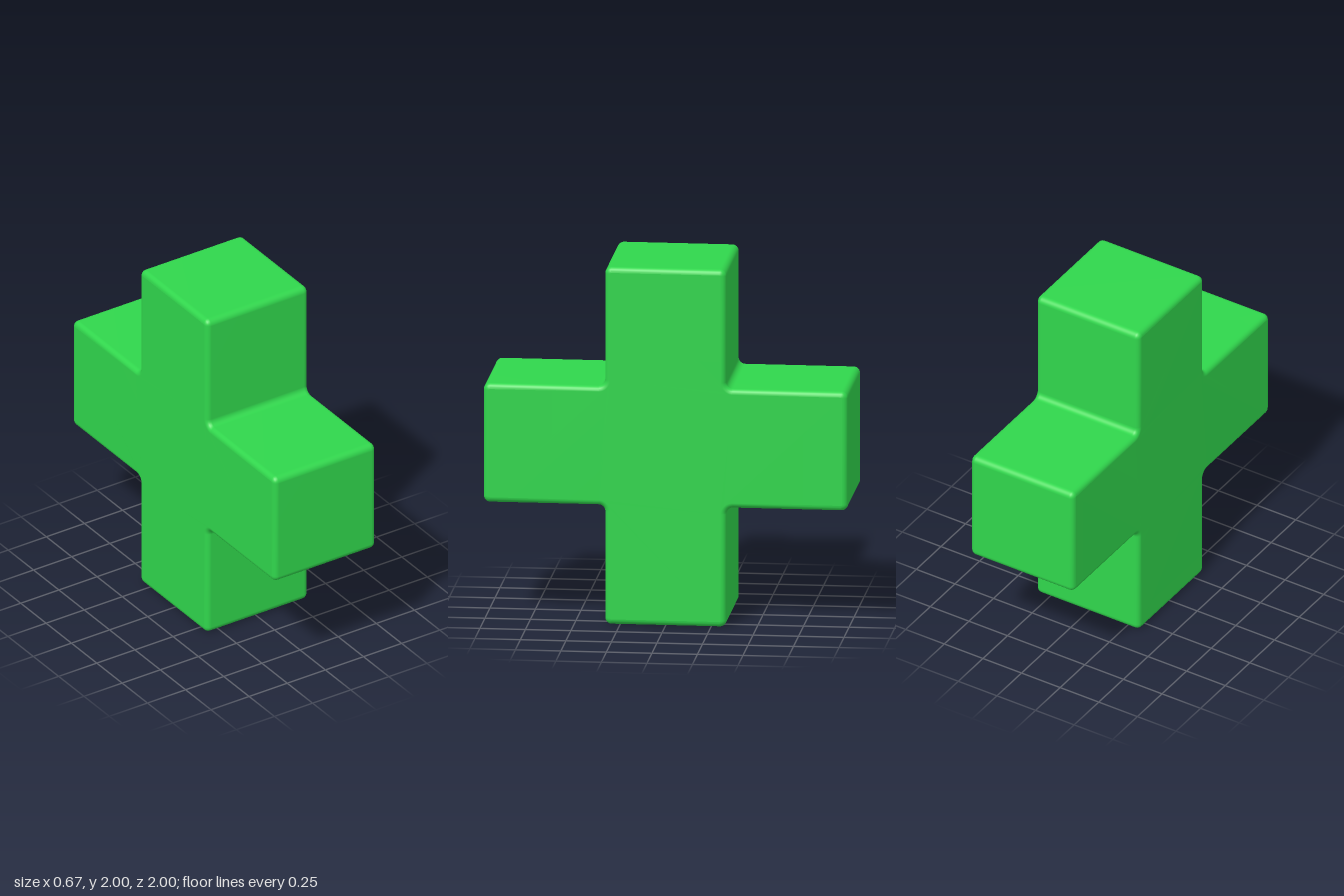
import * as THREE from 'three';
import { mergeVertices } from 'three/addons/utils/BufferGeometryUtils.js';

const HALF = 0.333;   // half width of each arm
const RADIUS = 0.036; // rounding of outline corners
const BEVEL = 0.03;   // rounding of the side edges

// Plus-shaped outline: each arm adds two outer corners and one inner fillet
function crossShape() {
  const shape = new THREE.Shape();
  const quarter = Math.PI / 2;
  const tip = 1 - RADIUS, side = HALF - RADIUS, inner = HALF + RADIUS;
  for (let i = 0; i < 4; i++) {
    const turn = i * quarter;
    const arc = (u, v, from, to, clockwise) => {
      const c = new THREE.Vector2(u, v).rotateAround(new THREE.Vector2(), turn);
      shape.absarc(c.x, c.y, RADIUS, from + turn, to + turn, clockwise);
    };
    arc(tip, -side, -quarter, 0, false);
    arc(tip, side, 0, quarter, false);
    arc(inner, inner, -quarter, -2 * quarter, true);
  }
  shape.closePath();
  return shape;
}

export function createModel() {
  const group = new THREE.Group();
  group.name = 'roundedCross';

  const depth = 2 * (HALF - BEVEL);
  let geometry = new THREE.ExtrudeGeometry(crossShape(), {
    depth, curveSegments: 6,
    bevelEnabled: true, bevelThickness: BEVEL, bevelSize: BEVEL,
    bevelOffset: -BEVEL, bevelSegments: 5,
  });
  geometry.translate(0, 0, -depth / 2);
  geometry.rotateY(Math.PI / 2);
  geometry.translate(0, 1, 0);

  // Weld for smooth, area-weighted normals across the rounded edges
  geometry.deleteAttribute('normal');
  geometry.deleteAttribute('uv');
  geometry = mergeVertices(geometry, 1e-5);
  geometry.computeVertexNormals();

  const cross = new THREE.Mesh(geometry, new THREE.MeshStandardMaterial({ color: 0x30d64c }));
  cross.name = 'cross';
  group.add(cross);
  return group;
}
